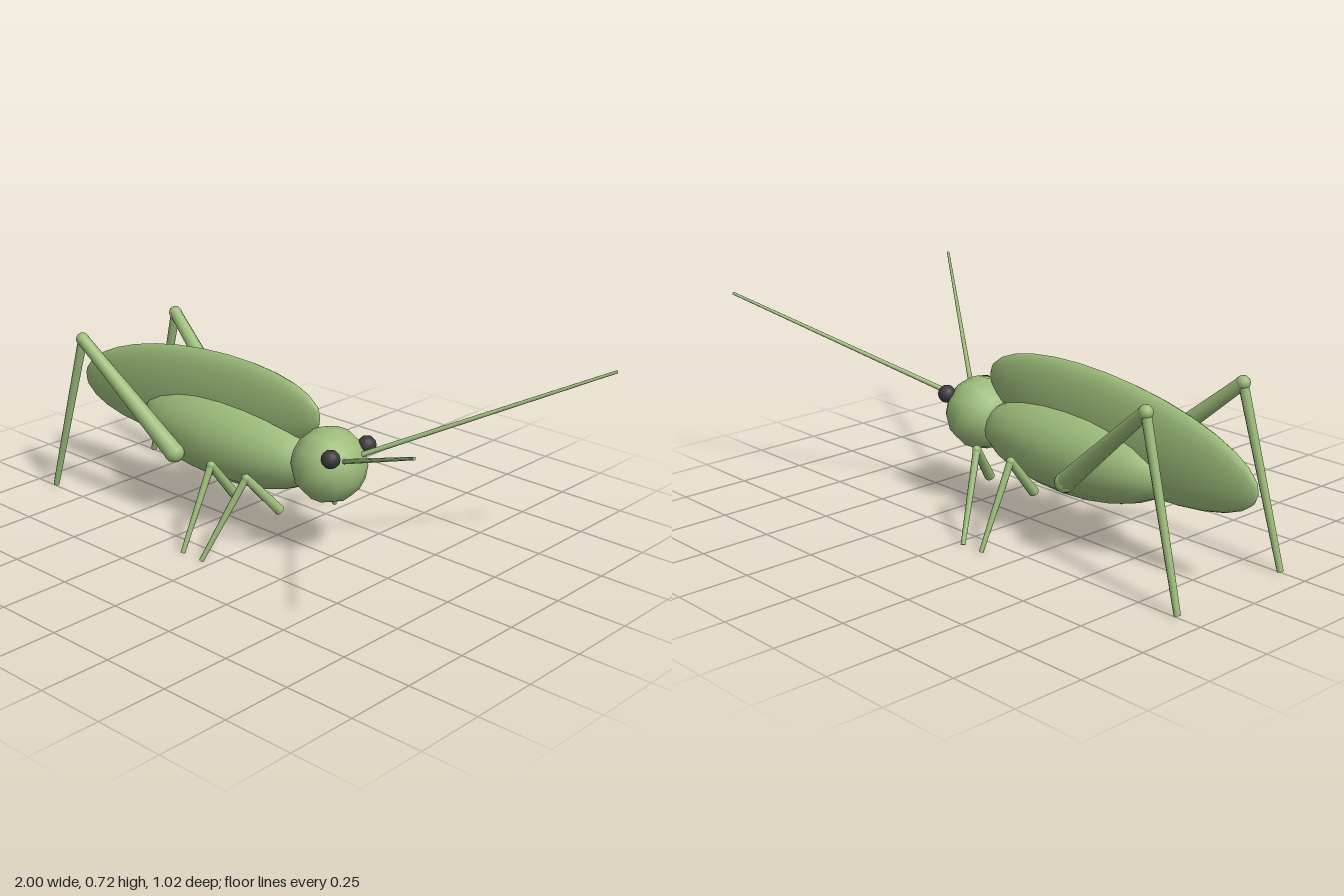
import * as THREE from 'three';

const green = new THREE.MeshStandardMaterial({ color: 0x9cbc7a });
green.name = 'leafGreen';
const dark = new THREE.MeshStandardMaterial({ color: 0x3a3a3e });
dark.name = 'eyeBlack';

// Ellipsoid with its poles on the long x axis
function ellipsoid(name, pos, radii, mat = green, tilt = 0, seg = 16) {
  const geo = new THREE.SphereGeometry(1, seg, Math.round(seg * 0.75));
  geo.rotateZ(-Math.PI / 2).scale(...radii);
  const mesh = new THREE.Mesh(geo, mat);
  mesh.name = name;
  mesh.position.set(...pos);
  mesh.rotation.z = tilt;
  return mesh;
}

// Tapered rod running from a to b
function rod(name, a, b, ra, rb) {
  const from = new THREE.Vector3(...a);
  const dir = new THREE.Vector3(...b).sub(from);
  const mesh = new THREE.Mesh(new THREE.CylinderGeometry(rb, ra, dir.length(), 10), green);
  mesh.name = name;
  mesh.position.copy(from).addScaledVector(dir, 0.5);
  mesh.quaternion.setFromUnitVectors(new THREE.Vector3(0, 1, 0), dir.normalize());
  return mesh;
}

function ball(name, pos, r, mat = green) {
  return ellipsoid(name, pos, [r, r, r], mat, 0, 12);
}

// Two-segment walking leg with a small knee
function walkingLeg(name, hip, knee, foot) {
  const leg = new THREE.Group();
  leg.name = name;
  leg.add(
    rod('upperLeg', hip, knee, 0.018, 0.015),
    ball('knee', knee, 0.015),
    rod('lowerLeg', knee, foot, 0.013, 0.008)
  );
  return leg;
}

// Jumping leg with a thick thigh and high knee
function jumpingLeg(name, hip, knee, foot) {
  const leg = new THREE.Group();
  leg.name = name;
  leg.add(
    ball('hip', hip, 0.036),
    rod('thigh', hip, knee, 0.034, 0.022),
    ball('knee', knee, 0.024),
    rod('shin', knee, foot, 0.017, 0.011)
  );
  return leg;
}

export function createModel() {
  const model = new THREE.Group();
  model.name = 'grasshopper';

  // Body, upright folded wings and head
  model.add(
    ellipsoid('body', [-0.225, 0.308, 0], [0.425, 0.152, 0.152]),
    ellipsoid('foldedWings', [-0.402, 0.42, 0], [0.6, 0.177, 0.055], green, 0.115, 20),
    ellipsoid('head', [0.237, 0.333, 0], [0.128, 0.131, 0.131], green, 0, 12)
  );

  // Paired parts on both sides
  for (const s of [-1, 1]) {
    const side = s > 0 ? 'Front' : 'Back';
    model.add(
      ball('eye' + side, [0.322, 0.4, s * 0.09], 0.032, dark),
      rod('antenna' + side, [0.33, 0.378, s * 0.035], [0.998, 0.712, s * 0.505], 0.009, 0.005),
      walkingLeg('foreLeg' + side, [0.1, 0.153, s * 0.093], [0.045, 0.288, s * 0.2], [-0.035, 0.005, s * 0.336]),
      walkingLeg('middleLeg' + side, [-0.122, 0.153, s * 0.093], [-0.122, 0.288, s * 0.2], [-0.125, 0.005, s * 0.336]),
      jumpingLeg('hindLeg' + side, [-0.342, 0.264, s * 0.165], [-0.74, 0.604, s * 0.225], [-0.905, 0.006, s * 0.246])
    );
  }
  return model;
}
